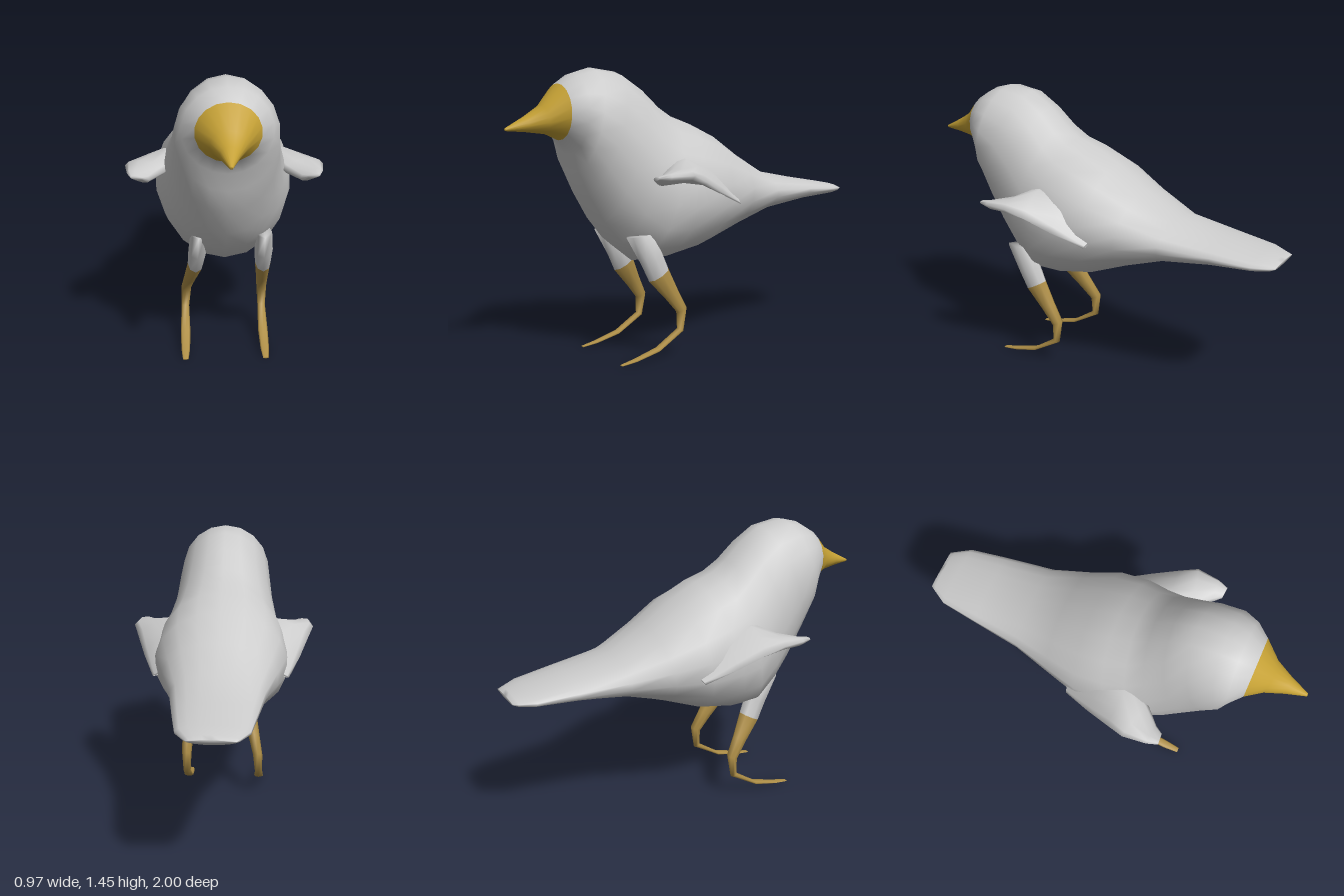
import * as THREE from 'three';

const V = (x, y, z) => new THREE.Vector3(x, y, z);
const grey = new THREE.MeshStandardMaterial({ color: 0xcccccc });
const yellow = new THREE.MeshStandardMaterial({ color: 0xc4a034 });
const ochre = new THREE.MeshStandardMaterial({ color: 0xb09048 });

// Oval ring spanning points a and b, with half-width vector v
function ring(a, b, v, n) {
  const c = a.clone().add(b).multiplyScalar(0.5);
  const u = a.clone().sub(b).multiplyScalar(0.5);
  return Array.from({ length: n }, (_, i) => {
    const t = (i / n) * Math.PI * 2;
    return c.clone().addScaledVector(u, Math.cos(t)).addScaledVector(v, Math.sin(t));
  });
}

// Closed skin over rings, wound outward; triangles are listed ring by ring
function loft(rings) {
  const n = rings[0].length, last = (rings.length - 1) * n;
  const pts = rings.flat(), index = [];
  for (let i = 1; i < n - 1; i++) index.push(0, i + 1, i);
  for (let r = 0; r < rings.length - 1; r++) {
    for (let i = 0; i < n; i++) {
      const a = r * n + i, b = r * n + (i + 1) % n;
      index.push(a, b, a + n, b, b + n, a + n);
    }
  }
  for (let i = 1; i < n - 1; i++) index.push(last, last + i, last + i + 1);
  let volume = 0;
  for (let i = 0; i < index.length; i += 3) {
    volume += pts[index[i]].dot(pts[index[i + 1]].clone().cross(pts[index[i + 2]]));
  }
  if (volume < 0) {
    for (let i = 0; i < index.length; i += 3) [index[i], index[i + 1]] = [index[i + 1], index[i]];
  }
  const g = new THREE.BufferGeometry().setFromPoints(pts);
  g.setIndex(index);
  g.computeVertexNormals();
  return g;
}

// Splits a loft after a number of ring bands, keeping the normals continuous
function split(g, n, bands) {
  const all = Array.from(g.index.array);
  const cut = (n - 2) * 3 + bands * n * 6;
  return [all.slice(0, cut), all.slice(cut)].map((part) => {
    const piece = g.clone();
    piece.setIndex(part);
    return piece;
  });
}

function part(parent, name, geometry, material) {
  const m = new THREE.Mesh(geometry, material);
  m.name = name;
  parent.add(m);
}

// Beak to tail: top z, top y, bottom z, bottom y, half-width
const BODY = [
  [1.0, 1.167, 1.0, 1.153, 0.008],
  [0.9, 1.22, 0.9, 1.145, 0.045],
  [0.82, 1.27, 0.8, 1.132, 0.085],
  [0.73, 1.37, 0.73, 1.1, 0.15],
  [0.65, 1.42, 0.685, 1.03, 0.208],
  [0.56, 1.445, 0.67, 0.94, 0.24],
  [0.42, 1.425, 0.62, 0.82, 0.25],
  [0.31, 1.355, 0.54, 0.68, 0.265],
  [0.22, 1.27, 0.45, 0.57, 0.29],
  [0.14, 1.215, 0.33, 0.475, 0.32],
  [0.04, 1.18, 0.2, 0.48, 0.345],
  [-0.1, 1.11, 0.0, 0.52, 0.345],
  [-0.26, 1.0, -0.2, 0.6, 0.295],
  [-0.45, 0.89, -0.43, 0.68, 0.235],
  [-0.7, 0.84, -0.7, 0.72, 0.2],
  [-0.9, 0.805, -0.9, 0.735, 0.17],
  [-0.98, 0.79, -0.97, 0.74, 0.125],
  [-1.0, 0.775, -1.0, 0.76, 0.11],
];

// Rear to tip: inner x, y, z, outer x, y, z, half-thickness
const WING = [
  [0.25, 0.82, -0.13, 0.35, 0.77, -0.1, 0.008],
  [0.24, 0.96, 0.05, 0.41, 0.84, 0.05, 0.03],
  [0.22, 1.0, 0.2, 0.455, 0.905, 0.18, 0.04],
  [0.28, 0.93, 0.32, 0.485, 0.945, 0.27, 0.035],
  [0.36, 0.91, 0.4, 0.47, 0.945, 0.39, 0.025],
  [0.39, 0.93, 0.44, 0.45, 0.94, 0.445, 0.01],
];

// Thigh to toe: x, front z, y, back z, y, half-width
const LEG = [
  [0.19, 0.47, 0.63, 0.32, 0.64, 0.04],
  [0.195, 0.39, 0.49, 0.27, 0.54, 0.046],
  [0.195, 0.345, 0.4, 0.235, 0.46, 0.04],
  [0.198, 0.25, 0.3, 0.18, 0.345, 0.031],
  [0.2, 0.185, 0.225, 0.13, 0.25, 0.026],
  [0.2, 0.18, 0.14, 0.15, 0.125, 0.02],
  [0.2, 0.3, 0.06, 0.3, 0.04, 0.025],
  [0.2, 0.43, 0.022, 0.43, 0.01, 0.022],
  [0.2, 0.51, 0.006, 0.51, 0.0, 0.014],
];

export function createModel() {
  const bird = new THREE.Group();
  bird.name = 'bird';

  const skin = loft(BODY.map(([tz, ty, bz, by, w]) => ring(V(0, ty, tz), V(0, by, bz), V(w, 0, 0), 18)));
  const [beak, body] = split(skin, 18, 3);
  part(bird, 'beak', beak, yellow);
  part(bird, 'body', body, grey);

  for (const s of [1, -1]) {
    const side = s > 0 ? 'left' : 'right';

    const wing = WING.map(([ix, iy, iz, ox, oy, oz, t]) =>
      ring(V(s * ox, oy, oz), V(s * ix, iy, iz), V(0, t, 0), 10));
    part(bird, side + 'Wing', loft(wing), grey);

    // The right thigh leans inward towards the belly
    const leg = LEG.map(([x, fz, fy, bz, by, w]) => {
      const lean = s < 0 ? Math.min(0.06, Math.max(0, (fy - 0.2) * 0.25)) : 0;
      return ring(V(s * (x - lean), fy, fz), V(s * (x - lean), by, bz), V(w, 0, 0), 8);
    });
    const [thigh, shin] = split(loft(leg), 8, 2);
    part(bird, side + 'Thigh', thigh, grey);
    part(bird, side + 'ShinAndFoot', shin, ochre);
  }
  return bird;
}
